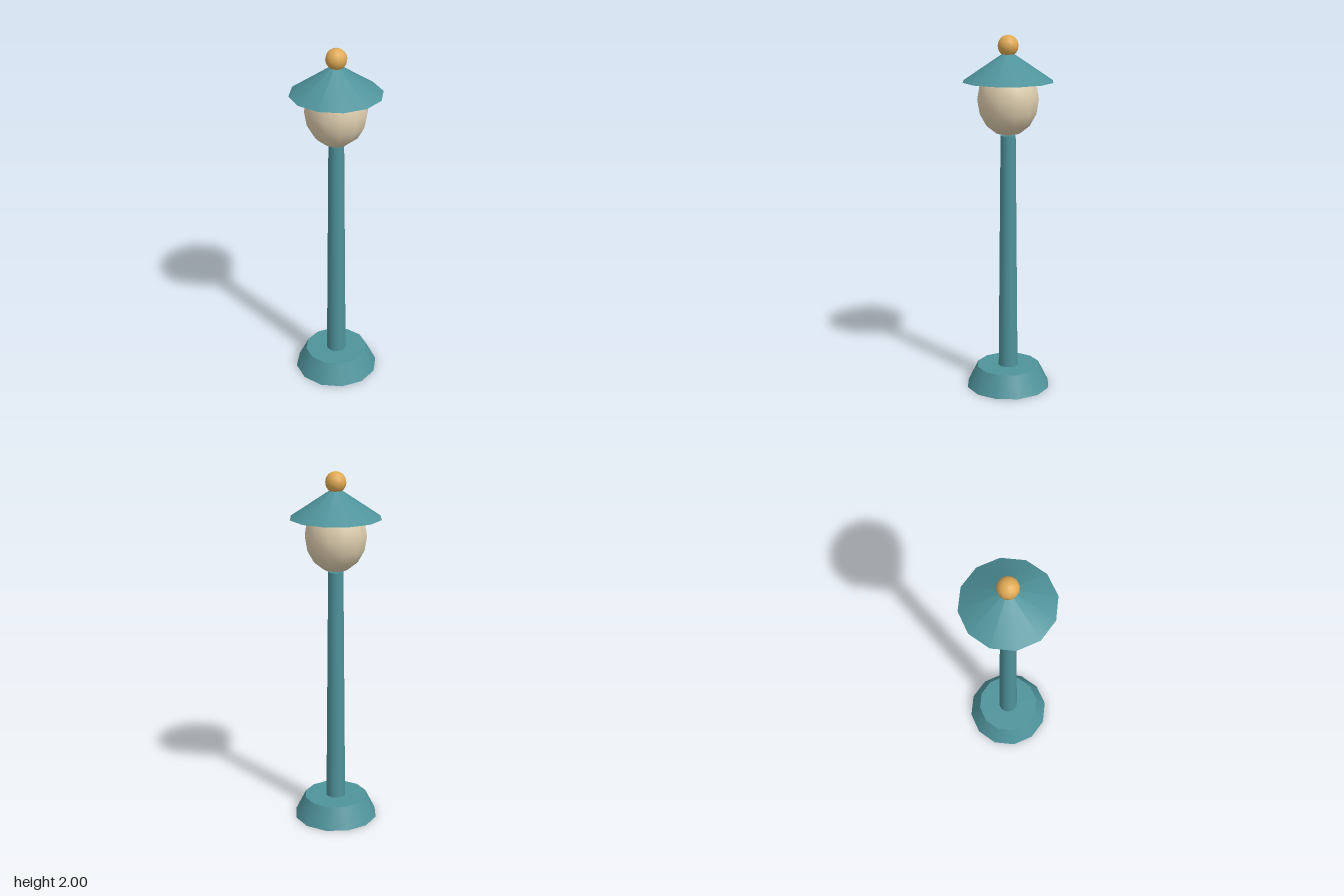
import * as THREE from 'three';

export function createModel() {
  const group = new THREE.Group();
  group.name = 'streetLamp';

  const material = (name, color) => {
    const m = new THREE.MeshStandardMaterial({ color });
    m.name = name;
    return m;
  };
  const teal = material('teal paint', 0x4f939b);
  const cream = material('cream glass', 0xe0d0b0);
  const gold = material('gold', 0xe0aa55);

  const add = (name, geometry, mat, y) => {
    const mesh = new THREE.Mesh(geometry, mat);
    mesh.name = name;
    mesh.position.y = y;
    group.add(mesh);
    return mesh;
  };
  // Tapered round part standing between two heights
  const taper = (name, rTop, rBottom, y0, y1) =>
    add(name, new THREE.CylinderGeometry(rTop, rBottom, y1 - y0, 12), teal, (y0 + y1) / 2);

  // Foot and post
  taper('base', 0.18, 0.239, 0, 0.12);
  taper('post', 0.043, 0.056, 0.12, 1.455);

  // Egg-shaped lamp globe
  const globe = add('globe', new THREE.SphereGeometry(0.172, 12, 8), cream, 1.657);
  globe.scale.y = 1.19;

  // Conical shade with a closed underside, topped by a ball
  add('shade', new THREE.ConeGeometry(0.252, 0.17, 12), teal, 1.835);
  add('finial', new THREE.SphereGeometry(0.058, 12, 8), gold, 1.942);

  return group;
}
